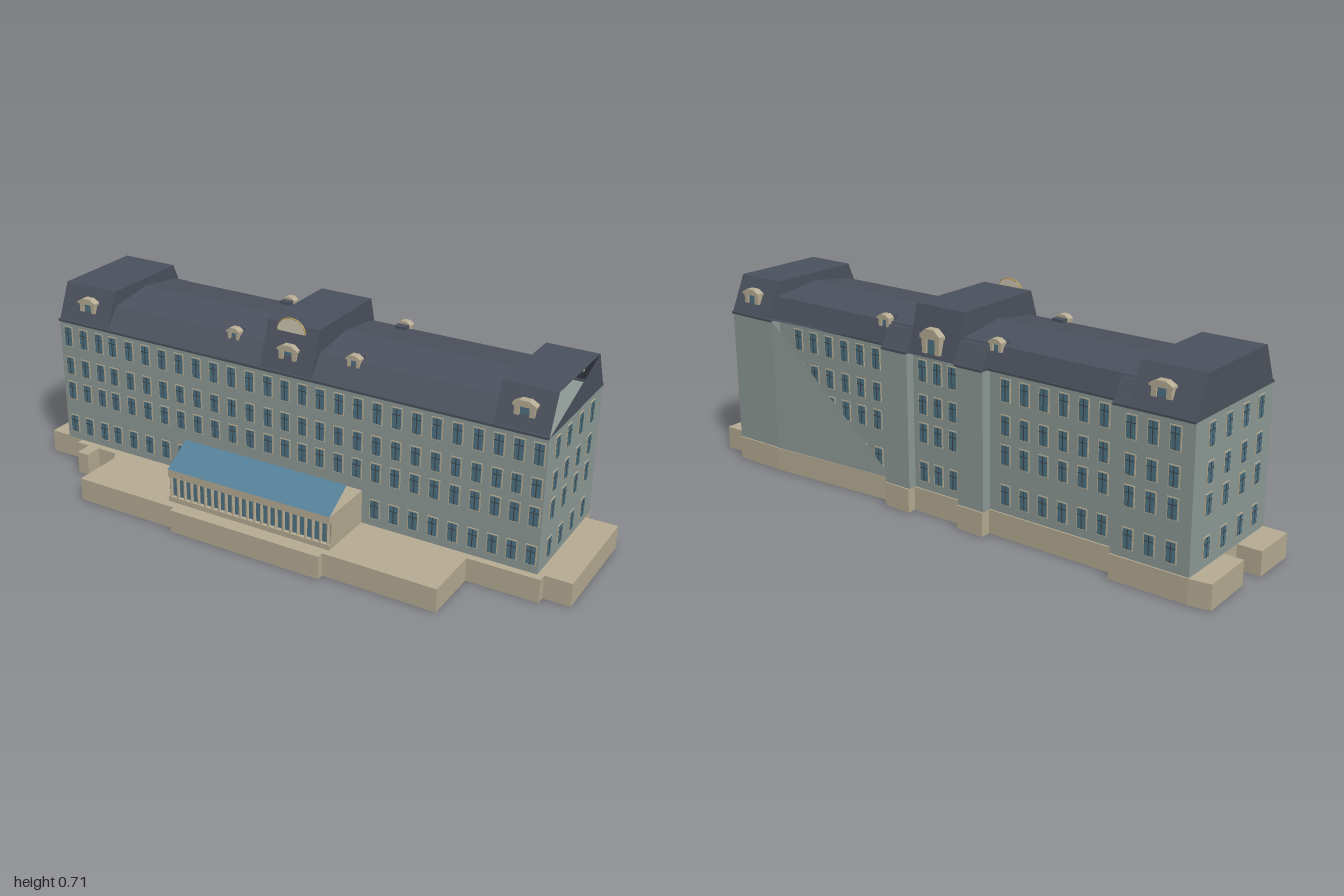
import * as THREE from 'three';
import { mergeGeometries } from 'three/addons/utils/BufferGeometryUtils.js';

const mat = (color, side = THREE.FrontSide) => new THREE.MeshStandardMaterial({ color, side, flatShading: true });
const STONE = mat(0xb8ad94), WALL = mat(0x8f9b97), SLATE = mat(0x4c525e), GLASS = mat(0x4f7484);
const BAR = mat(0x3d474e), GOLD = mat(0xa8904a);
const SLATE2 = mat(0x4c525e, THREE.DoubleSide), BLUE2 = mat(0x55819a, THREE.DoubleSide), WALL2 = mat(0x8f9b97, THREE.DoubleSide);

const shapeOf = (pts) => new THREE.Shape(pts.map((p) => new THREE.Vector2(p[0], p[1])));

// Horizontal slab from an (x, z) outline
function slab(outline, y0, y1) {
  return new THREE.ExtrudeGeometry(shapeOf(outline), { depth: y1 - y0, bevelEnabled: false })
    .rotateX(Math.PI / 2).translate(0, y1, 0);
}

// Solid running along x from a (z, y) profile
function prism(profile, x0, x1) {
  return new THREE.ExtrudeGeometry(shapeOf(profile), { depth: x1 - x0, bevelEnabled: false })
    .rotateY(-Math.PI / 2).translate(x1, 0, 0);
}

const box = (x, y, z, w, h, d) => new THREE.BoxGeometry(w, h, d).translate(x, y, z);

function triangles(points) {
  const g = new THREE.BufferGeometry();
  g.setAttribute('position', new THREE.Float32BufferAttribute(points.flat(), 3));
  g.computeVertexNormals();
  return g;
}

// Open sheet running along x from a (z, y) polyline
function sheet(line, x0, x1) {
  const t = [];
  for (let i = 0; i + 1 < line.length; i++) {
    const [a, b] = [line[i], line[i + 1]];
    const p = (x, q) => [x, q[1], q[0]];
    t.push(p(x0, a), p(x1, a), p(x1, b), p(x0, a), p(x1, b), p(x0, b));
  }
  return triangles(t);
}

const row = (start, step, n) => Array.from({ length: n }, (_, i) => start + i * step);

export function createModel() {
  const model = new THREE.Group();
  const add = (name, geometry, material) => {
    const m = new THREE.Mesh(geometry, material);
    m.name = name;
    model.add(m);
    return m;
  };

  // Plinth and terraces
  add('plinth', slab([
    [-0.99, -0.34], [-0.92, -0.35], [-0.66, -0.35], [-0.66, -0.315], [-0.2, -0.315], [-0.2, -0.35],
    [-0.1, -0.35], [-0.1, -0.32], [0.1, -0.32], [0.1, -0.35], [0.2, -0.35], [0.2, -0.315],
    [0.7, -0.35], [0.89, -0.35], [0.89, -0.31], [1, -0.31], [1, 0.09], [0.91, 0.09], [0.91, 0.12],
    [0.67, 0.12], [0.67, 0.325], [0.28, 0.325], [0.28, 0.35], [-0.28, 0.35], [-0.28, 0.33],
    [-0.67, 0.33], [-0.67, 0.15], [-0.69, 0.12], [-0.765, 0.12], [-0.765, 0.18], [-0.81, 0.18],
    [-0.81, 0.12], [-0.86, 0.12], [-0.86, 0.09], [-1, 0.09], [-1, -0.07], [-0.92, -0.07],
    [-0.92, -0.15], [-0.985, -0.15],
  ], 0, 0.08), STONE);

  // Main walls with shallow projections at the back
  add('walls', slab([
    [-0.92, -0.345], [-0.66, -0.345], [-0.66, -0.31], [-0.2, -0.31], [-0.2, -0.345], [-0.1, -0.345],
    [-0.1, -0.315], [0.1, -0.315], [0.1, -0.345], [0.2, -0.345], [0.2, -0.31], [0.7, -0.31],
    [0.7, -0.345], [0.89, -0.345], [0.89, 0.095], [-0.92, 0.095],
  ], 0.08, 0.53), WALL);
  add('slantedBackWall', triangles([[0.7, 0.53, -0.347], [0.7, 0.08, -0.347], [0.2, 0.08, -0.314]]), WALL2);
  add('slantedEave', triangles([[0.2, 0.535, -0.31], [0.7, 0.535, -0.31], [0.7, 0.535, -0.347]]), SLATE2);

  // Roofs: long middle section, taller centre and end pavilions
  const pavilion = (top, back) => [[0.095, 0.53], [0.042, top], [-0.292, top], [back, 0.53]];
  add('middleRoof', prism([[0.095, 0.53], [0.038, 0.605], [-0.13, 0.628], [-0.295, 0.605], [-0.32, 0.53]], -0.72, 0.72), SLATE);
  add('centreRoof', prism(pavilion(0.683, -0.335), -0.09, 0.1), SLATE);
  add('leftEndRoof', prism(pavilion(0.656, -0.35), -0.92, -0.71), SLATE);
  add('rightEndRoof', sheet(pavilion(0.656, -0.35), 0.715, 0.89), SLATE2);
  add('rightEndRoofInnerGable', prism(pavilion(0.655, -0.349), 0.715, 0.725), SLATE);
  add('rightEndRoofGable', triangles([[0.89, 0.53, 0.095], [0.89, 0.53, -0.35], [0.89, 0.656, -0.292]]), SLATE2);
  for (const [a, b] of [[-0.71, -0.66], [-0.2, -0.09], [0.1, 0.2]])
    add('backProjectionRoof', prism([[-0.29, 0.53], [-0.29, 0.6], [-0.31, 0.6], [-0.35, 0.53]], a, b), SLATE);
  add('frontCornice', box(-0.015, 0.533, 0.097, 1.81, 0.008, 0.01), SLATE);
  for (const [a, b, z] of [[-0.92, -0.66, -0.347], [-0.66, -0.2, -0.316], [-0.2, -0.1, -0.347], [-0.1, 0.1, -0.322],
    [0.1, 0.2, -0.347], [0.2, 0.7, -0.316], [0.7, 0.89, -0.347]])
    add('backCornice', box((a + b) / 2, 0.533, z, b - a, 0.008, 0.01), SLATE);

  // Windows: frame, pane and glazing bars, gathered and merged
  const frames = [], panes = [], bars = [];
  const storeys = [[0.11, 0.172], [0.24, 0.302], [0.335, 0.396], [0.442, 0.51]];
  function windowColumn(x, z, turn) {
    for (const [y0, y1] of storeys) {
      const put = (list, w, h, d, dy = 0) =>
        list.push(box(0, dy, 0, w, h, d).rotateY(turn).translate(x, (y0 + y1) / 2, z));
      const h = y1 - y0;
      put(frames, 0.037, h + 0.006, 0.006);
      put(panes, 0.03, h, 0.008);
      put(bars, 0.003, h, 0.0095);
      put(bars, 0.03, 0.003, 0.0095, h * 0.2);
    }
  }
  const frontColumns = [...row(-0.885, 0.0675, 3), ...row(-0.69, 0.07, 9), ...row(-0.06, 0.065, 3),
    ...row(0.135, 0.0675, 9), ...row(0.74, 0.0625, 3)];
  frontColumns.forEach((x) => windowColumn(x, 0.095, 0));
  row(-0.86, 0.07, 3).forEach((x) => windowColumn(x, -0.345, 0));
  [...row(-0.61, 0.07, 6), ...row(0.26, 0.07, 6)].forEach((x) => windowColumn(x, -0.31, 0));
  row(-0.06, 0.06, 3).forEach((x) => windowColumn(x, -0.315, 0));
  for (const z of [0.023, -0.068, -0.165, -0.26])
    for (const x of [-0.92, 0.89]) windowColumn(x, z, Math.PI / 2);
  add('windowFrames', mergeGeometries(frames), STONE);
  add('windowPanes', mergeGeometries(panes), GLASS);
  add('windowBars', mergeGeometries(bars), BAR);

  // Entrance gallery: glazed body, colonnade and open-ended pitched roof
  add('galleryBody', box(-0.015, 0.138, 0.19, 0.61, 0.117, 0.19), STONE);
  add('galleryGlass', box(-0.015, 0.13, 0.284, 0.6, 0.085, 0.006), GLASS);
  add('galleryBeam', box(-0.015, 0.184, 0.291, 0.61, 0.026, 0.018), STONE);
  add('gallerySill', box(-0.015, 0.089, 0.291, 0.61, 0.018, 0.018), STONE);
  add('galleryColumns', mergeGeometries(row(-0.312, 0.027, 23).map((x) =>
    new THREE.CylinderGeometry(0.0055, 0.0055, 0.09, 8).translate(x, 0.135, 0.293))), STONE);
  add('galleryRoof', sheet([[0.3, 0.197], [0.195, 0.26], [0.092, 0.197]], -0.32, 0.29), BLUE2);

  // Dormers: cheeks, pane, cap and small pediment; dir faces front or back
  function dormer(name, x, y, z, dir, w, h) {
    const g = new THREE.Group();
    g.name = name;
    const part = (geometry, material) => g.add(new THREE.Mesh(geometry, material));
    for (const s of [-1, 1]) part(box(s * w * 0.32, h * 0.35, 0, w * 0.22, h * 0.7, 0.022), STONE);
    part(box(0, h * 0.35, -0.004, w * 0.5, h * 0.7, 0.018), GLASS);
    part(new THREE.ExtrudeGeometry(shapeOf([[-w / 2, h * 0.6], [w / 2, h * 0.6], [w / 2, h * 0.75], [w * 0.2, h], [-w * 0.2, h], [-w / 2, h * 0.75]]),
      { depth: 0.026, bevelEnabled: false }).translate(0, 0, -0.011), STONE);
    part(box(0, h * 0.4, -0.02, w * 0.8, h * 0.75, 0.03), SLATE);
    g.position.set(x, y, z);
    if (dir < 0) g.rotation.y = Math.PI;
    model.add(g);
  }
  for (const x of [-0.805, 0.803]) {
    dormer('endDormer', x, 0.575, 0.07, 1, 0.075, 0.05);
    dormer('endDormer', x, 0.575, -0.328, -1, 0.075, 0.05);
  }
  dormer('centreDormer', 0.005, 0.575, 0.07, 1, 0.075, 0.05);
  dormer('centreBackDormer', 0.005, 0.545, -0.33, -1, 0.08, 0.08);
  for (const x of [-0.22, 0.225]) {
    dormer('smallDormer', x, 0.588, 0.04, 1, 0.05, 0.04);
    dormer('smallDormer', x, 0.588, -0.298, -1, 0.05, 0.04);
  }

  // Rounded crest over the centre of the front
  const crest = new THREE.Group();
  crest.name = 'roundedCrest';
  crest.add(new THREE.Mesh(new THREE.CylinderGeometry(0.05, 0.05, 0.008, 24, 1, false, Math.PI / 2, Math.PI).rotateX(Math.PI / 2), mat(0xcfc8b4, THREE.DoubleSide)));
  crest.add(new THREE.Mesh(new THREE.TorusGeometry(0.05, 0.004, 6, 24, Math.PI), GOLD));
  crest.scale.y = 0.9;
  crest.position.set(0.003, 0.66, 0.053);
  model.add(crest);

  return model;
}
